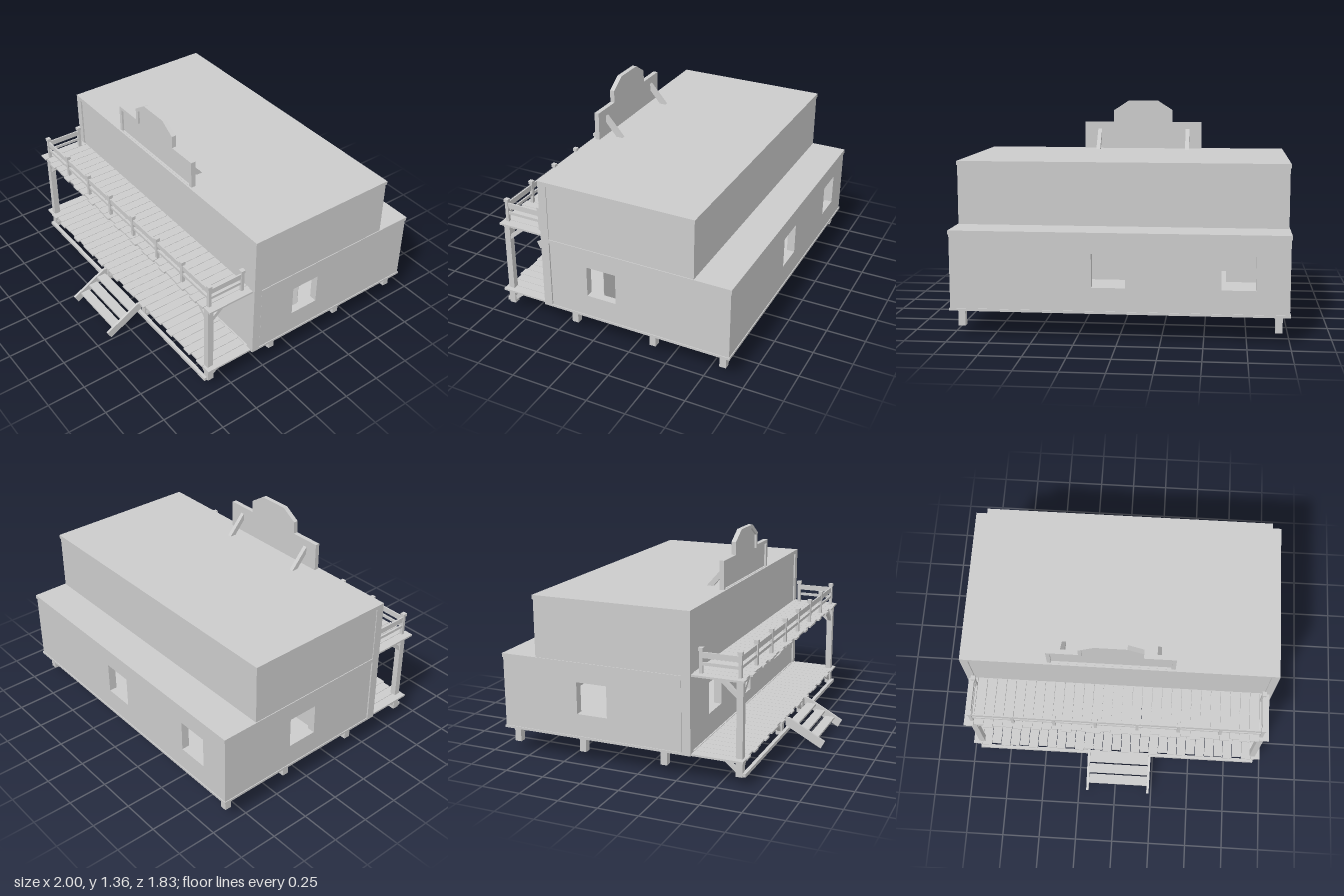
import * as THREE from 'three';

const material = new THREE.MeshStandardMaterial({ color: 0xcccccc, flatShading: true });
const root = new THREE.Group();

function add(name, geometry) {
  const mesh = new THREE.Mesh(geometry, material);
  mesh.name = name;
  root.add(mesh);
  return mesh;
}

// Box given by its limits on each axis
function box(name, x0, x1, y0, y1, z0, z1) {
  const g = new THREE.BoxGeometry(x1 - x0, y1 - y0, z1 - z0);
  return add(name, g.translate((x0 + x1) / 2, (y0 + y1) / 2, (z0 + z1) / 2));
}

const outline = (points) => new THREE.Shape(points.map(([a, b]) => new THREE.Vector2(a, b)));
const rect = (a0, a1, b0, b1) => [[a0, b0], [a1, b0], [a1, b1], [a0, b1]];

// Extrusion of an (x, y) outline along z
function prismZ(name, points, z0, z1, holes = []) {
  const shape = outline(points);
  shape.holes = holes.map(outline);
  const g = new THREE.ExtrudeGeometry(shape, { depth: z1 - z0, bevelEnabled: false });
  return add(name, g.translate(0, 0, z0));
}

// Extrusion of a (z, y) outline along x
function prismX(name, points, x0, x1, holes = []) {
  const shape = outline(points);
  shape.holes = holes.map(outline);
  const g = new THREE.ExtrudeGeometry(shape, { depth: x1 - x0, bevelEnabled: false });
  return add(name, g.rotateY(-Math.PI / 2).translate(x1, 0, 0));
}

// Outline of a diagonal brace from a post (a, low) to a beam (b, high)
const brace = (a, low, b, high, t) => {
  const s = Math.sign(b - a);
  return [[a, low], [b, high], [b - s * t, high], [a, low + t * 0.85]];
};

function buildHouse() {
  const win = (a0, a1) => rect(a0, a1, 0.32, 0.52);
  box('houseFloor', -1, 1, 0.165, 0.18, -0.91, 0.34);
  // Ground floor walls with window and door openings
  prismZ('frontWall', rect(-0.99, 0.99, 0.18, 0.625), 0.28, 0.33,
    [win(-0.69, -0.49), rect(-0.155, 0.04, 0.25, 0.615), win(0.49, 0.68)]);
  prismZ('backWall', rect(-0.995, 0.995, 0.18, 0.625), -0.905, -0.855,
    [win(-0.8, -0.6), win(-0.045, 0.155)]);
  prismX('rightSideWall', rect(-0.855, 0.28, 0.18, 0.625), -0.995, -0.945, [win(-0.4, -0.2)]);
  prismX('leftSideWall', rect(-0.855, 0.28, 0.18, 0.625), 0.945, 0.995, [win(-0.165, 0.03)]);
  // Thin inner wall with a doorway
  box('innerWall', -0.945, -0.63, 0.18, 0.62, -0.058, -0.055);
  box('innerWall', -0.45, 0.945, 0.18, 0.62, -0.058, -0.055);
  box('lowerRoof', -1, 1, 0.62, 0.645, -0.91, 0.335);
  box('upperStorey', -0.995, 0.995, 0.645, 1.005, -0.675, 0.33);
  box('upperRoof', -1, 1, 1.005, 1.03, -0.68, 0.34);
  for (const s of [-1, 1]) {
    box('cornerBoard', s * 0.975 - 0.025, s * 0.975 + 0.025, 0.165, 1.005, 0.285, 0.34);
    for (const z of [0.15, -0.39, -0.85])
      box('foundationPost', s * 0.935 - 0.021, s * 0.935 + 0.021, 0.065, 0.165, z - 0.021, z + 0.021);
  }
}

// Row of boards running out from the house, with slightly uneven ends
function planks(name, y0, y1, y) {
  const count = 31, x0 = -0.99, step = 1.975 / count;
  for (let i = 0; i < count; i++) {
    const end = 0.658 + 0.008 * Math.sin(i * 2.4 + y * 9);
    box(name, x0 + i * step, x0 + (i + 1) * step - 0.003, y0, y1, 0.335, end);
  }
}

function buildPorch() {
  planks('porchFloorBoard', 0.165, 0.177, 0);
  planks('balconyBoard', 0.645, 0.657, 1);
  box('groundBeam', -0.95, 0.945, 0.068, 0.09, 0.64, 0.662);
  for (const s of [-1, 1]) {
    const x = s * 0.932;
    box('porchPost', x - 0.019, x + 0.019, 0.177, 0.645, 0.602, 0.642);
    box('porchLeg', x - 0.021, x + 0.021, 0.065, 0.165, 0.6, 0.642);
    // Braces along the front and back towards the house
    prismZ('upperFrontBrace', brace(s * 0.913, 0.54, s * 0.80, 0.645, 0.035), 0.61, 0.634);
    prismX('upperSideBrace', brace(0.602, 0.535, 0.475, 0.645, 0.04), x - 0.012, x + 0.012);
    prismZ('lowerFrontBrace', brace(s * 0.911, 0.09, s * 0.83, 0.165, 0.03), 0.61, 0.634);
    prismX('lowerSideBrace', brace(0.6, 0.085, 0.505, 0.165, 0.035), x - 0.012, x + 0.012);
  }
  // Legs beside the steps
  for (const x of [-0.21, 0.24]) {
    box('stepLeg', x - 0.02, x + 0.02, 0.065, 0.165, 0.6, 0.642);
    for (const s of [-1, 1])
      prismZ('stepLegBrace', brace(x + s * 0.02, 0.09, x + s * 0.1, 0.165, 0.03), 0.61, 0.634);
    prismX('stepLegSideBrace', brace(0.6, 0.085, 0.505, 0.165, 0.035), x - 0.012, x + 0.012);
  }
}

function buildRailing() {
  const post = (x, z) => {
    box('railingPost', x - 0.01, x + 0.01, 0.657, 0.79, z - 0.01, z + 0.01);
    box('railingCap', x - 0.014, x + 0.014, 0.79, 0.81, z - 0.014, z + 0.014);
  };
  for (let i = 0; i < 8; i++) post(-0.938 + i * 0.267, 0.62);
  for (const [y0, y1] of [[0.748, 0.783], [0.706, 0.724]]) {
    box('frontRail', -0.938, 0.931, y0, y1, 0.615, 0.625);
    for (const x of [-0.938, 0.931]) box('sideRail', x - 0.005, x + 0.005, y0, y1, 0.383, 0.62);
  }
  for (const x of [-0.938, 0.931]) post(x, 0.383);
}

function buildSteps() {
  const side = [[0.655, 0.175], [0.68, 0.175], [0.915, 0.048], [0.89, 0], [0.655, 0.125]];
  for (const x of [-0.19, 0.227]) prismX('stepStringer', side, x - 0.008, x + 0.008);
  for (let i = 0; i < 3; i++) {
    const z = 0.672 + i * 0.065, y = 0.128 - i * 0.038;
    box('tread', -0.182, 0.219, y, y + 0.013, z, z + 0.063);
  }
}

function buildGable() {
  // Stepped false-front board: raised rim around a recessed panel
  const outer = [[-0.45, 1.03], [0.35, 1.03], [0.35, 1.21], [0.15, 1.21], [0.15, 1.29],
    [0.05, 1.355], [-0.15, 1.355], [-0.25, 1.29], [-0.25, 1.21], [-0.45, 1.21]];
  const inner = [[-0.425, 1.032], [0.325, 1.032], [0.325, 1.188], [0.127, 1.188], [0.127, 1.278],
    [0.042, 1.332], [-0.142, 1.332], [-0.227, 1.278], [-0.227, 1.188], [-0.425, 1.188]];
  prismZ('gableRim', outer, 0.298, 0.328, [inner]);
  prismZ('gablePanel', inner, 0.298, 0.315);
  for (const x of [-0.355, 0.247])
    prismX('gableBrace', [[0.182, 1.03], [0.225, 1.03], [0.298, 1.115], [0.298, 1.162]], x - 0.013, x + 0.013);
}

export function createModel() {
  root.clear();
  root.name = 'woodenBuilding';
  buildHouse();
  buildPorch();
  buildRailing();
  buildSteps();
  buildGable();
  return root;
}
